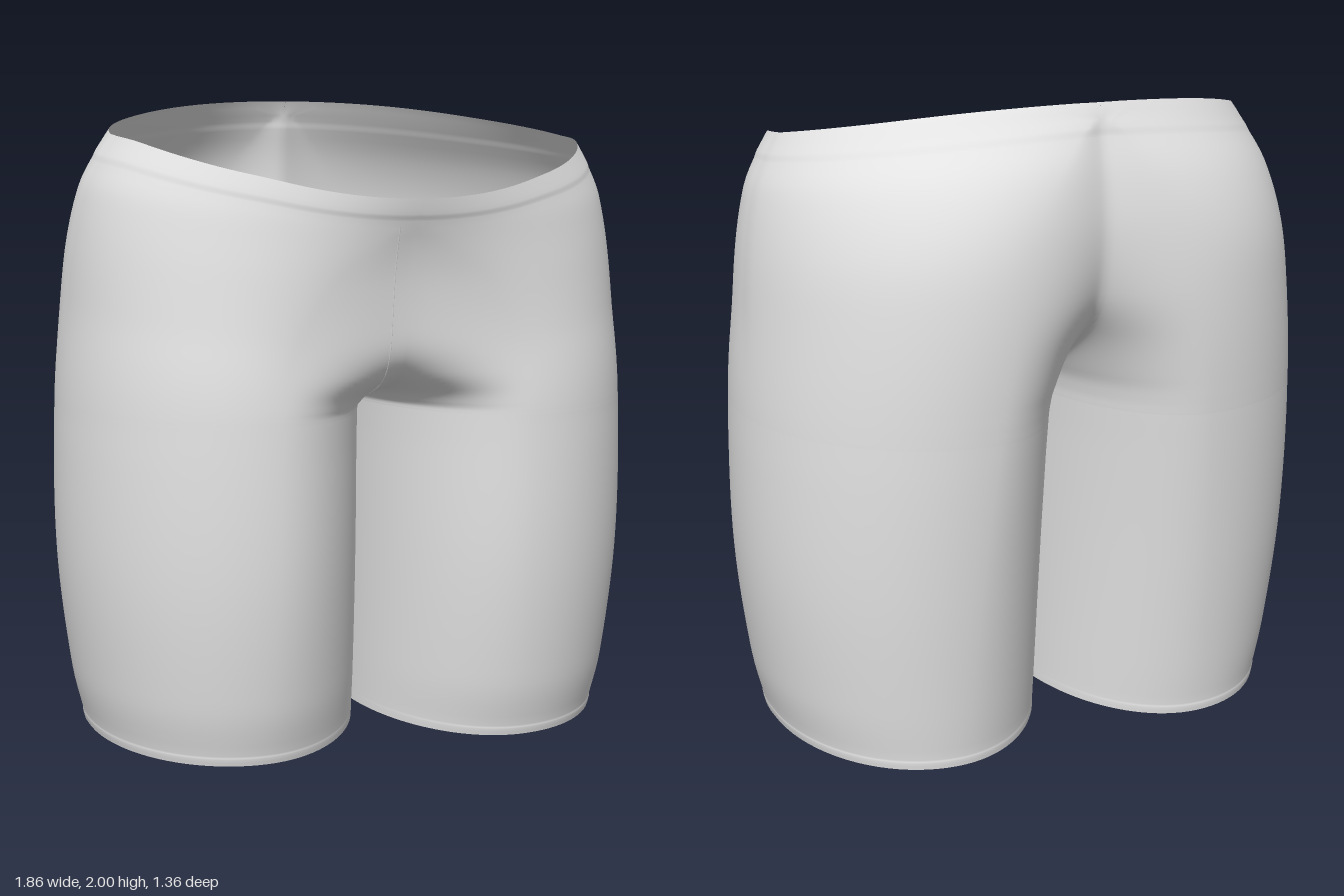
import * as THREE from 'three';
import { mergeVertices } from 'three/addons/utils/BufferGeometryUtils.js';

// Smooth interpolation through [key, value] pairs
function curve(keys) {
  const slope = (i) => {
    const a = keys[Math.max(0, i - 1)], b = keys[Math.min(keys.length - 1, i + 1)];
    return (b[1] - a[1]) / (b[0] - a[0]);
  };
  return (p) => {
    const q = THREE.MathUtils.clamp(p, keys[0][0], keys[keys.length - 1][0]);
    let i = 0;
    while (i < keys.length - 2 && q > keys[i + 1][0]) i++;
    const [x0, y0] = keys[i], [x1, y1] = keys[i + 1];
    const h = x1 - x0, t = (q - x0) / h, t2 = t * t, t3 = t2 * t;
    return (2 * t3 - 3 * t2 + 1) * y0 + (t3 - 2 * t2 + t) * h * slope(i)
      + (3 * t2 - 2 * t3) * y1 + (t3 - t2) * h * slope(i + 1);
  };
}

// Profiles along p: 0 = leg hem, 1 = crotch, 2 = waist edge
const CROTCH = 1.05;
const outerX = curve([[0, .845], [.17, .885], [.55, .925], [1, .922], [1.35, .9], [1.6, .878], [1.8, .842], [1.9, .803], [2, .75]]);
const frontZ = curve([[0, .505], [.17, .55], [.55, .6], [1, .615], [1.35, .61], [1.6, .62], [1.8, .642], [2, .68]]);
const backZ = curve([[0, -.53], [.17, -.555], [.55, -.605], [1, -.655], [1.35, -.68], [1.6, -.675], [1.8, -.64], [2, -.565]]);
const midZ = curve([[0, -.015], [1, -.02], [1.5, 0], [2, .055]]);
// Sideways position of the fullest point of each half
const frontLobe = curve([[0, .42], [.55, .41], [1, .4], [1.3, .37], [1.6, .27], [1.8, .15], [2, 0]]);
const backLobe = curve([[0, .42], [.55, .4], [1, .36], [1.4, .31], [1.6, .27], [1.8, .17], [2, 0]]);
// How far each half would reach past the centre line: 0 = separate legs
const frontReach = curve([[1, 0], [1.03, .015], [1.1, .2], [1.2, .8], [1.35, 1.7], [1.6, 2.4], [2, 3]]);
const backReach = curve([[1, 0], [1.04, .008], [1.1, .05], [1.25, .3], [1.4, .8], [1.6, 1.4], [1.8, 2], [2, 3]]);
// Height of the slanted waist edge by depth
const waistY = curve([[-.565, 2], [-.3, 1.94], [0, 1.89], [.25, 1.86], [.55, 1.77], [.685, 1.7]]);

function section(p, front) {
  const cx = front ? frontLobe(p) : backLobe(p);
  const soft = (front ? .08 : .025) * THREE.MathUtils.smoothstep(p, 1, 1.4);
  // faintly raised waistband and hem
  const band = .003 * (THREE.MathUtils.smoothstep(p, 1.9, 1.93) + 1 - THREE.MathUtils.smoothstep(p, .02, .03));
  const cz = midZ(p);
  const rz = band + (front ? frontZ(p) - cz : cz - backZ(p));
  const outer = outerX(p) - cx;
  const inner = cx * (1 + (front ? frontReach(p) : backReach(p)));
  return { cx, outer, inner, soft, cz, rz, band };
}

// Cosine of the section angle at a given sideways position
function cosAt(x, s) {
  const d = Math.hypot(x, s.soft) - s.cx;
  return THREE.MathUtils.clamp(d / (d >= 0 ? s.outer : s.inner), -1, 1);
}

// u = 1 front centre, 0 outer side, -1 back centre
function outline(u, p) {
  const s = section(p, u >= 0);
  const a = u * Math.acos(cosAt(0, s));
  const c = Math.cos(a);
  const raw = s.cx + (c >= 0 ? s.outer : s.inner) * c;
  const gap = .0015 * THREE.MathUtils.clamp((1 - p) * 10, 0, 1);
  const x = Math.abs(u) === 1 ? 0 : Math.sqrt(Math.max(0, raw * raw - s.soft * s.soft));
  return { x: x + gap + s.band * Math.max(0, c), z: s.cz + s.rz * Math.sin(a), a };
}

function surfacePoint(u, p) {
  const { x, z, a } = outline(u, p);
  const dip = Math.sin(a) > 0 ? .016 : .03;
  const hem = .03 - dip * Math.abs(Math.sin(a)) + .02 * Math.max(0, -Math.cos(a)) ** 2;
  const y = p <= 1
    ? hem + (CROTCH - hem) * p
    : CROTCH + (p - 1) * (waistY(outline(u, 2).z) - CROTCH);
  return [x, y, z];
}

// Both halves share their centre seam above the crotch
function garmentGeometry() {
  const rows = [0, .01, .02, .025, .03, .06];
  for (let i = 1; i <= 26; i++) rows.push(.06 + .94 * i / 26);
  for (let i = 1; i <= 40; i++) rows.push(1 + .9 * (i / 40) ** 1.5);
  rows.push(1.907, 1.915, 1.922, 1.93, 1.95, 1.975, 2);
  const N = 112, positions = [], indices = [];
  for (const side of [1, -1]) {
    const base = positions.length / 3;
    for (const p of rows) {
      for (let j = 0; j <= N; j++) {
        // columns gather toward the centre seam
        const v = 1 - 2 * j / N;
        const u = Math.sign(v) * (1 - (1 - Math.abs(v)) ** 1.5);
        const [x, y, z] = surfacePoint(u, p);
        positions.push(side * x, y, z);
      }
    }
    for (let i = 0; i < rows.length - 1; i++) {
      for (let j = 0; j < N; j++) {
        const a = base + i * (N + 1) + j, b = a + 1, c = a + N + 1, d = c + 1;
        if (side > 0) indices.push(a, b, c, b, d, c);
        else indices.push(a, c, b, b, c, d);
      }
    }
  }
  let g = new THREE.BufferGeometry();
  g.setAttribute('position', new THREE.Float32BufferAttribute(positions, 3));
  g.setIndex(indices);
  g = mergeVertices(g, 1e-5);
  g.computeVertexNormals();
  return g;
}

// Stitched line just right of the front centre
function flySeamGeometry() {
  const points = [];
  const x = .055;
  for (let i = 0; i <= 16; i++) {
    const p = 1.09 + .79 * i / 16, s = section(p, true);
    const z = s.cz + s.rz * Math.sqrt(1 - cosAt(x, s) ** 2);
    points.push(new THREE.Vector3(-x, CROTCH + (p - 1) * (1.705 - CROTCH), z));
  }
  return new THREE.TubeGeometry(new THREE.CatmullRomCurve3(points), 40, .002, 6);
}

export function createModel() {
  const group = new THREE.Group();
  group.name = 'shorts';
  const fabric = new THREE.MeshStandardMaterial({ color: 0xe6e6e6, side: THREE.DoubleSide });
  fabric.name = 'light grey fabric';
  const add = (name, geometry) => {
    const mesh = new THREE.Mesh(geometry, fabric);
    mesh.name = name;
    group.add(mesh);
  };
  add('shortsBody', garmentGeometry());
  add('flySeam', flySeamGeometry());
  return group;
}
